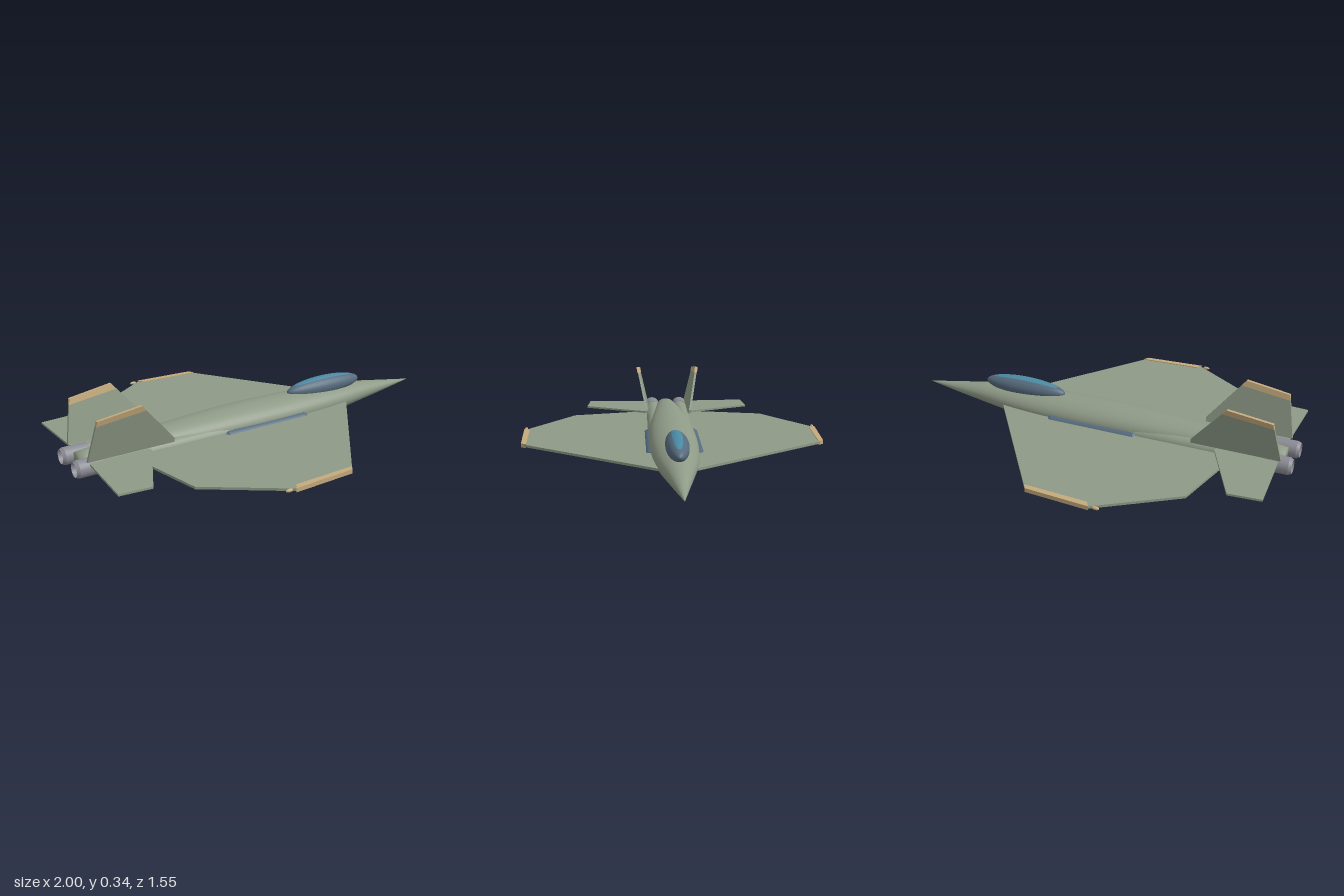
import * as THREE from 'three';

const mat = (name, color, opts = {}) => {
  const m = new THREE.MeshStandardMaterial({ color, ...opts });
  m.name = name;
  return m;
};

export function createModel() {
  const model = new THREE.Group();
  model.name = 'jet';
  const green = mat('greyGreen', 0x8f9a87);
  const slate = mat('slateBlue', 0x566b7d);
  const glass = mat('canopyGlass', 0x4a8aa3);
  const tan = mat('tanTrim', 0xc4aa7c);
  const metal = mat('nozzleMetal', 0x8b8b94);
  const pale = mat('paleGrey', 0xc2c9cc);
  const dark = mat('darkBrown', 0x3a3430);

  const add = (name, geometry, material, x = 0, y = 0, z = 0) => {
    const m = new THREE.Mesh(geometry, material);
    m.name = name;
    m.position.set(x, y, z);
    model.add(m);
    return m;
  };
  const outline = pts => new THREE.Shape(pts.map(p => new THREE.Vector2(p[0], p[1])));

  // Horizontal slab from an (x, z) outline, between two heights
  const slab = (pts, s, y0, y1) => new THREE.ExtrudeGeometry(
    outline(pts.map(([x, z]) => [x, z * s])), { depth: y1 - y0, bevelEnabled: false })
    .rotateX(Math.PI / 2).translate(0, y1, 0);

  // Upright slab from an (x, y) outline, leaning outwards as it rises
  const fin = (pts, s, t) => {
    const g = new THREE.ExtrudeGeometry(outline(pts), { depth: t, bevelEnabled: false }).translate(0, 0, -t / 2);
    const p = g.attributes.position;
    for (let i = 0; i < p.count; i++) p.setZ(i, p.getZ(i) + s * (0.118 + (p.getY(i) - 0.12) * 0.22));
    g.computeVertexNormals();
    return g;
  };

  // Turned part along x from (x, radius) points listed back to front
  const turned = (pts, seg = 24) => {
    const flat = [];
    pts.forEach((p, i) => { // doubled points keep the edges crisp
      flat.push(new THREE.Vector2(p[1], p[0]));
      if (i > 0 && i < pts.length - 1) flat.push(new THREE.Vector2(p[1], p[0]));
    });
    return new THREE.LatheGeometry(flat, seg).rotateZ(-Math.PI / 2);
  };
  const ellipsoid = (a, b, c) => new THREE.SphereGeometry(1, 40, 24).rotateZ(Math.PI / 2).scale(a, b, c);

  // Fuselage: elliptical rings [x, centre y, half width, half height]
  const stations = [
    [-0.95, 0.075, 0.05, 0.038], [-0.75, 0.08, 0.07, 0.054], [-0.5, 0.082, 0.094, 0.067],
    [-0.2, 0.085, 0.116, 0.078], [0.1, 0.085, 0.12, 0.08], [0.35, 0.085, 0.108, 0.074],
    [0.5, 0.086, 0.09, 0.064], [0.65, 0.088, 0.064, 0.05], [0.82, 0.086, 0.033, 0.027], [1, 0.085, 0.0005, 0.0005],
  ];
  const N = 40, R = 48;
  const centre = new THREE.CatmullRomCurve3(stations.map(s => new THREE.Vector3(s[0], s[1], 0)));
  const radii = new THREE.CatmullRomCurve3(stations.map(s => new THREE.Vector3(s[0], s[2], s[3])));
  const pos = [], idx = [];
  for (let i = 0; i <= R; i++) {
    const c = centre.getPoint(i / R), r = radii.getPoint(i / R);
    for (let j = 0; j < N; j++) {
      const a = j / N * Math.PI * 2;
      pos.push(c.x, c.y + r.z * Math.cos(a), r.y * Math.sin(a));
      if (i === R) continue;
      const p = i * N + j, q = i * N + (j + 1) % N;
      idx.push(p, q, p + N, q, q + N, p + N);
    }
  }
  // Rear cap
  pos.push(-0.95, 0.075, 0);
  const hub = pos.length / 3 - 1;
  for (let j = 0; j < N; j++) idx.push(hub, (j + 1) % N, j);
  // Make sure the skin faces outwards
  const body = new THREE.BufferGeometry();
  body.setAttribute('position', new THREE.Float32BufferAttribute(pos, 3));
  body.setIndex(idx);
  body.computeVertexNormals();
  const k = (R / 2) * N;
  if (body.attributes.normal.getY(k) < 0) {
    for (let i = 0; i < idx.length; i += 3) [idx[i + 1], idx[i + 2]] = [idx[i + 2], idx[i + 1]];
    body.setIndex(idx);
    body.computeVertexNormals();
  }
  add('fuselage', body, green);

  // Canopy: slate surround with glass breaking through along the top
  add('canopyFrame', ellipsoid(0.225, 0.05, 0.055), slate, 0.42, 0.165);
  add('canopyGlass', ellipsoid(0.222, 0.0515, 0.05), glass, 0.42, 0.165);

  for (const s of [1, -1]) {
    const side = s > 0 ? 'Right' : 'Left';

    // Main wing, thicker trim along its tip, and tip light
    add('wing' + side, slab([[0.52, 0.07], [0.51, 0.085], [0.03, 0.75], [-0.28, 0.77],
      [-0.635, 0.525], [-0.7, 0.245], [-0.735, 0.09], [-0.73, 0.05]], s, 0.07, 0.082), green);
    add('wingTipTrim' + side, slab([[0.045, 0.728], [0.028, 0.755], [-0.285, 0.773], [-0.265, 0.742]], s, 0.066, 0.086), tan);
    add('wingTipLight' + side, ellipsoid(0.018, 0.008, 0.008), tan, -0.315, 0.08, s * 0.765);

    // Tailplane
    add('tailplane' + side, slab([[-0.935, 0.08], [-0.94, 0.17], [-0.953, 0.45], [-0.798, 0.463],
      [-0.64, 0.13], [-0.64, 0.08]], s, 0.091, 0.101), green);

    // Tail fin and its coloured cap
    add('tailFin' + side, fin([[-0.95, 0.11], [-0.915, 0.287], [-0.675, 0.317], [-0.52, 0.13], [-0.52, 0.11]], s, 0.012), green);
    add('tailFinCap' + side, fin([[-0.915, 0.287], [-0.91, 0.313], [-0.697, 0.344], [-0.675, 0.317]], s, 0.016), tan);

    // Engine tube, nozzle and dark exhaust opening
    add('engine' + side, turned([[-0.89, 0], [-0.89, 0.04], [-0.2, 0.043], [0, 0.03], [0, 0]]), green, 0, 0.072, s * 0.079);
    add('nozzle' + side, turned([[-0.96, 0], [-0.96, 0.03], [-1, 0.034], [-0.985, 0.042], [-0.87, 0.042], [-0.87, 0]]),
      metal, 0, 0.072, s * 0.082);
    add('exhaust' + side, turned([[-0.965, 0], [-0.965, 0.03], [-0.955, 0.03]]), dark, 0, 0.072, s * 0.082);

    // Air intake
    add('intake' + side, turned([[-0.24, 0], [-0.24, 0.03], [-0.228, 0.037], [0.215, 0.037], [0.23, 0.031], [0.23, 0]]),
      slate, 0, 0.058, s * 0.11);

    // Underwing store with a thin flat fin
    add('store' + side, turned([[-0.33, 0], [-0.3, 0.009], [-0.26, 0.012], [-0.06, 0.012], [-0.01, 0.007], [0.02, 0]], 16),
      pale, 0, 0.039, s * 0.418);
    add('storeFin' + side, slab([[-0.31, 0.39], [-0.31, 0.446], [-0.27, 0.446], [-0.23, 0.418], [-0.27, 0.39]], s, 0.037, 0.041), pale);
  }
  return model;
}
